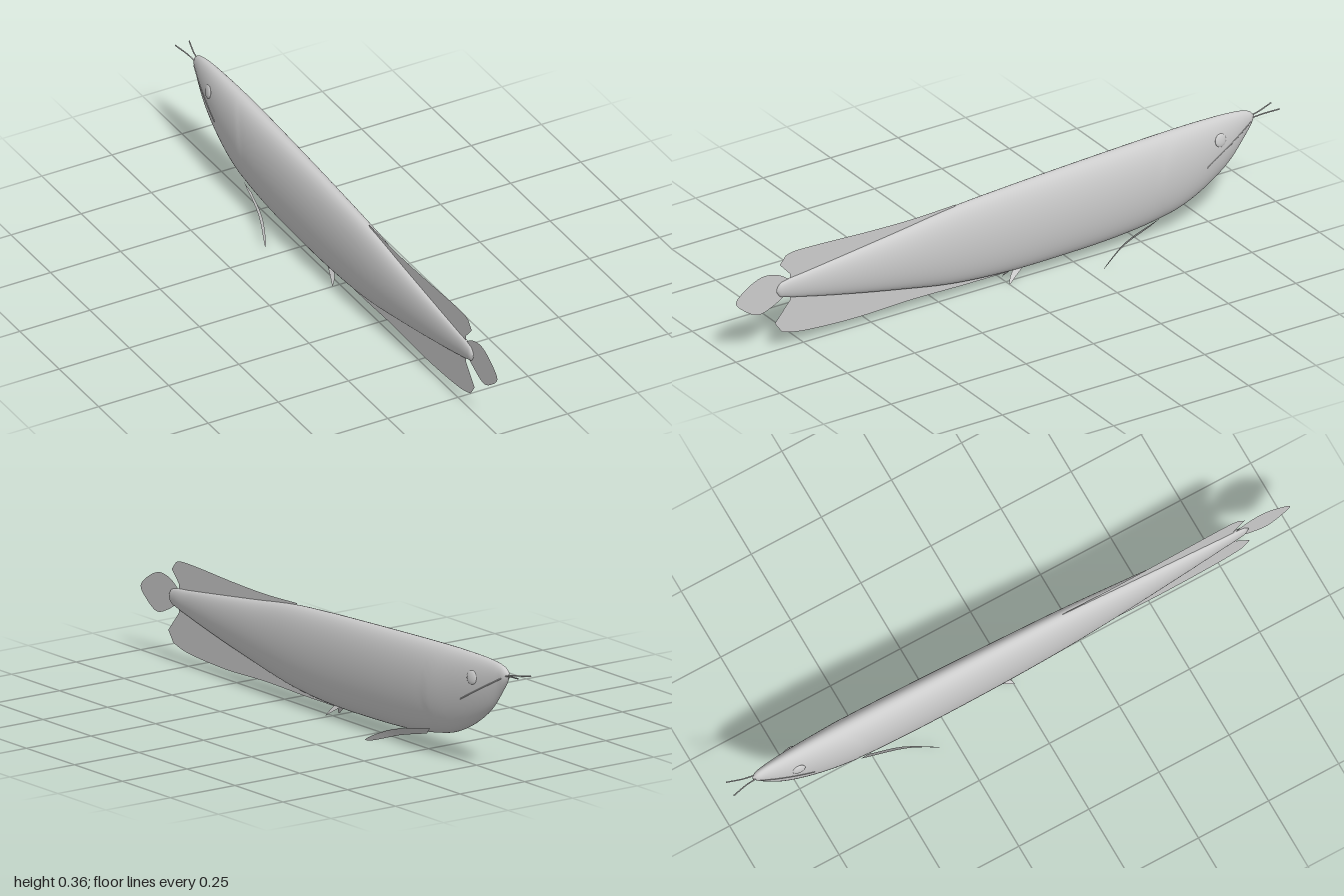
import * as THREE from 'three';

// Body profile rows: z, top y, bottom y, half width (snout at -z, tail at +z)
const PROFILE = [
  [-0.918, 0.328, 0.318, 0.002], [-0.905, 0.342, 0.297, 0.012], [-0.88, 0.352, 0.262, 0.019],
  [-0.83, 0.358, 0.2, 0.029], [-0.75, 0.36, 0.138, 0.04], [-0.65, 0.359, 0.088, 0.048],
  [-0.55, 0.356, 0.064, 0.053], [-0.4, 0.35, 0.046, 0.054], [-0.2, 0.341, 0.038, 0.052],
  [0, 0.331, 0.038, 0.048], [0.2, 0.317, 0.053, 0.043], [0.4, 0.29, 0.088, 0.035],
  [0.6, 0.264, 0.128, 0.024], [0.75, 0.245, 0.162, 0.015], [0.82, 0.236, 0.18, 0.011],
  [0.84, 0.228, 0.188, 0.008], [0.85, 0.212, 0.205, 0.002],
];
const Z0 = PROFILE[0][0], Z1 = PROFILE[PROFILE.length - 1][0];
const profile = new THREE.CubicInterpolant(PROFILE.map(p => p[0]), PROFILE.flatMap(p => p.slice(1)), 3);

function section(z) {
  const [top, bottom, w] = profile.evaluate(z);
  return { cy: (top + bottom) / 2, ry: (top - bottom) / 2, w };
}

// Half width of the body surface at a given height; the gill cover stands slightly proud
function surfaceX(z, y) {
  const { cy, ry, w } = section(z);
  const c = THREE.MathUtils.clamp((y - cy) / ry, -1, 1);
  const gillEdge = -0.55 - 3 * (y - 0.2) ** 2;
  const gill = 1 + 0.03 * THREE.MathUtils.smoothstep(z, -0.75, gillEdge)
    * (1 - THREE.MathUtils.smoothstep(z, gillEdge, gillEdge + 0.02));
  return w * Math.sqrt(1 - c * c) * (1 + 0.08 * c) * gill;
}

function bodyGeometry(rows = 140, sides = 48) {
  const pos = [], index = [];
  for (let i = 0; i <= rows; i++) {
    // closer rings toward both ends
    const z = Z0 + (Z1 - Z0) * (1 - Math.cos(Math.PI * i / rows)) / 2;
    const { cy, ry } = section(z);
    for (let j = 0; j < sides; j++) {
      const t = 2 * Math.PI * j / sides;
      const y = cy + ry * Math.cos(t);
      pos.push((j % (sides / 2) === 0 ? 0 : Math.sign(Math.sin(t))) * surfaceX(z, y), y, z);
      if (i === rows) continue;
      const a = i * sides + j, b = i * sides + (j + 1) % sides;
      index.push(a, a + sides, b, b, a + sides, b + sides);
    }
  }
  const g = new THREE.BufferGeometry();
  g.setAttribute('position', new THREE.Float32BufferAttribute(pos, 3));
  g.setIndex(index);
  g.computeVertexNormals();
  return g;
}

// Flat fin on the centre plane: outer edge is a smooth curve, base is straight
function medianFin(edge, base) {
  const s = new THREE.Shape();
  s.moveTo(...edge[0]);
  s.splineThru(edge.slice(1).map(p => new THREE.Vector2(...p)));
  base.forEach(p => s.lineTo(...p));
  return new THREE.ShapeGeometry(s, 6).rotateY(-Math.PI / 2);
}

// Paired fin: strip between an upper and a lower edge
function stripFin(upper, lower, side, n = 12) {
  const curve = pts => new THREE.CatmullRomCurve3(pts.map(([x, y, z]) => new THREE.Vector3(x * side, y, z)));
  const u = curve(upper), l = curve(lower), pos = [], index = [];
  for (let i = 0; i <= n; i++) {
    pos.push(...u.getPoint(i / n).toArray(), ...l.getPoint(i / n).toArray());
    if (i < n) index.push(2 * i, 2 * i + 1, 2 * i + 2, 2 * i + 1, 2 * i + 3, 2 * i + 2);
  }
  const g = new THREE.BufferGeometry();
  g.setAttribute('position', new THREE.Float32BufferAttribute(pos, 3));
  g.setIndex(index);
  g.computeVertexNormals();
  return g;
}

function tube(points, radius) {
  const path = new THREE.CatmullRomCurve3(points.map(p => new THREE.Vector3(...p)));
  return new THREE.TubeGeometry(path, 16, radius, 6);
}

export function createModel() {
  const group = new THREE.Group();
  const grey = new THREE.MeshStandardMaterial({ color: 0xcccccc, side: THREE.DoubleSide });
  grey.name = 'pale grey';
  const add = (name, geometry) => {
    const mesh = new THREE.Mesh(geometry, grey);
    mesh.name = name;
    group.add(mesh);
    return mesh;
  };

  add('body', bodyGeometry());

  // Centre-line fins, as [z, y]
  add('dorsalFin', medianFin(
    [[0.185, 0.324], [0.35, 0.318], [0.52, 0.321], [0.68, 0.328], [0.78, 0.33], [0.815, 0.323]],
    [[0.838, 0.296], [0.8, 0.255], [0.8, 0.23], [0.6, 0.255], [0.4, 0.28], [0.2, 0.305]]));
  add('analFin', medianFin(
    [[-0.01, 0.034], [0.15, 0.034], [0.35, 0.037], [0.56, 0.032], [0.75, 0.042], [0.83, 0.06]],
    [[0.856, 0.096], [0.8, 0.163], [0.8, 0.19], [0.6, 0.14], [0.4, 0.1], [0.2, 0.065], [0, 0.045]]));
  add('tailFin', medianFin(
    [[0.8, 0.235], [0.845, 0.263], [0.9, 0.272], [0.955, 0.25], [1, 0.208],
      [0.965, 0.168], [0.915, 0.143], [0.86, 0.16], [0.8, 0.195]], []));

  for (const side of [1, -1]) {
    const label = side > 0 ? 'left' : 'right';
    add(label + 'PectoralFin', stripFin(
      [[0.032, 0.082, -0.55], [0.064, 0.053, -0.4], [0.095, 0.012, -0.31], [0.097, 0.003, -0.3]],
      [[0.022, 0.058, -0.52], [0.045, 0.033, -0.41], [0.086, 0.002, -0.315], [0.097, 0.002, -0.3]], side));
    add(label + 'PelvicFin', stripFin(
      [[0.01, 0.045, -0.06], [0.018, 0.026, -0.03], [0.027, 0.006, 0]],
      [[0.008, 0.04, -0.02], [0.016, 0.022, -0.005], [0.026, 0.005, 0.003]], side));

    // Barbels at the tip of the jaw
    add(label + 'Barbel', tube(
      [[side * 0.006, 0.322, -0.905], [side * 0.011, 0.328, -0.945], [side * 0.025, 0.336, -0.999]], 0.0022));

    // Eye: flattened dome lying on the head
    const eye = add(label + 'Eye', new THREE.SphereGeometry(0.022, 24, 16));
    eye.scale.x = 0.3;
    eye.position.set(side * (surfaceX(-0.773, 0.294) - 0.001), 0.294, -0.773);
    eye.rotation.set(0, side * 0.16, side * 0.15);

    // Lip line following the head
    const lip = [];
    for (let i = 0; i <= 6; i++) {
      const z = -0.72 - 0.18 * i / 6, y = 0.215 + 0.1 * i / 6;
      lip.push([side * surfaceX(z, y), y, z]);
    }
    add(label + 'Lip', tube(lip, 0.002));
  }
  return group;
}
